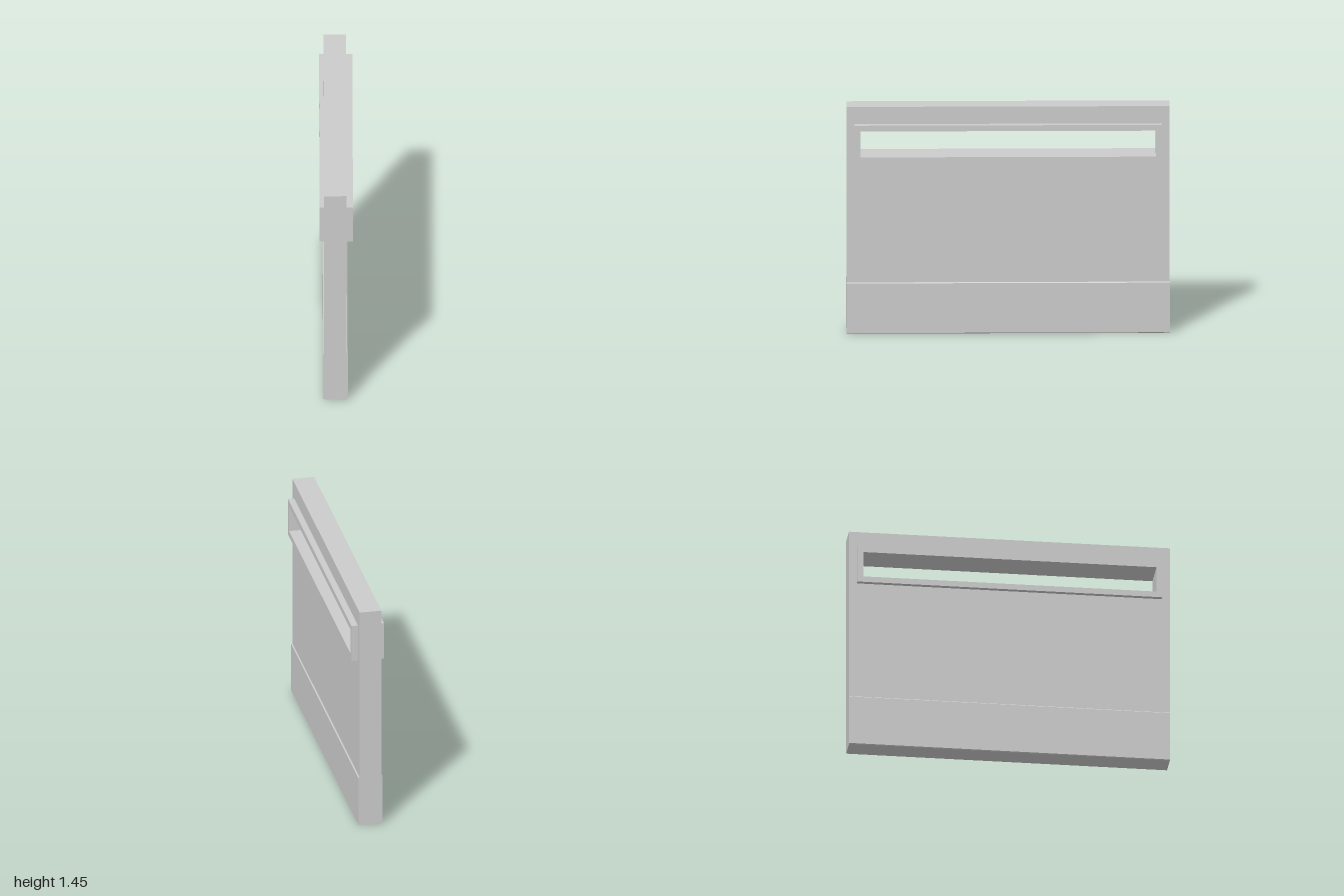
import * as THREE from 'three';

const material = new THREE.MeshStandardMaterial({ color: 0xcccccc, flatShading: true });

// Rectangle outline, centred on 0 horizontally, between heights y0 and y1
function rectPoints(half, y0, y1) {
  return [[-half, y0], [half, y0], [half, y1], [-half, y1]].map(([a, b]) => new THREE.Vector2(a, b));
}

// Slab lying in the z-y plane with a rectangular opening, from x0 to x1
function slabWithOpening(name, outer, opening, x0, x1) {
  const shape = new THREE.Shape(rectPoints(...outer));
  shape.holes.push(new THREE.Path(rectPoints(...opening).reverse()));
  const geometry = new THREE.ExtrudeGeometry(shape, { depth: x1 - x0, bevelEnabled: false });
  geometry.rotateY(Math.PI / 2).translate(x0, 0, 0);
  const mesh = new THREE.Mesh(geometry, material);
  mesh.name = name;
  return mesh;
}

export function createModel() {
  const model = new THREE.Group();
  model.name = 'wallPanel';

  const baseTop = 0.327;

  // Main wall, open where the window frame passes through
  model.add(slabWithOpening('wall', [1, baseTop, 1.45], [0.932, 1.118, 1.322], -0.077, 0.061));

  // Window frame lining the opening and standing proud on both faces
  model.add(slabWithOpening('windowFrame', [0.951, 1.1, 1.34], [0.914, 1.137, 1.303], -0.105, 0.101));

  // Slightly thicker plinth with small chamfers along its long edges
  const c = 0.005, left = -0.084, right = 0.069;
  const profile = new THREE.Shape([
    [left + c, 0], [right - c, 0], [right, c], [right, baseTop - c],
    [right - c, baseTop], [left + c, baseTop], [left, baseTop - c], [left, c],
  ].map(([x, y]) => new THREE.Vector2(x, y)));
  const plinthGeometry = new THREE.ExtrudeGeometry(profile, { depth: 2, bevelEnabled: false });
  plinthGeometry.translate(0, 0, -1);
  const plinth = new THREE.Mesh(plinthGeometry, material);
  plinth.name = 'plinth';
  model.add(plinth);

  return model;
}
